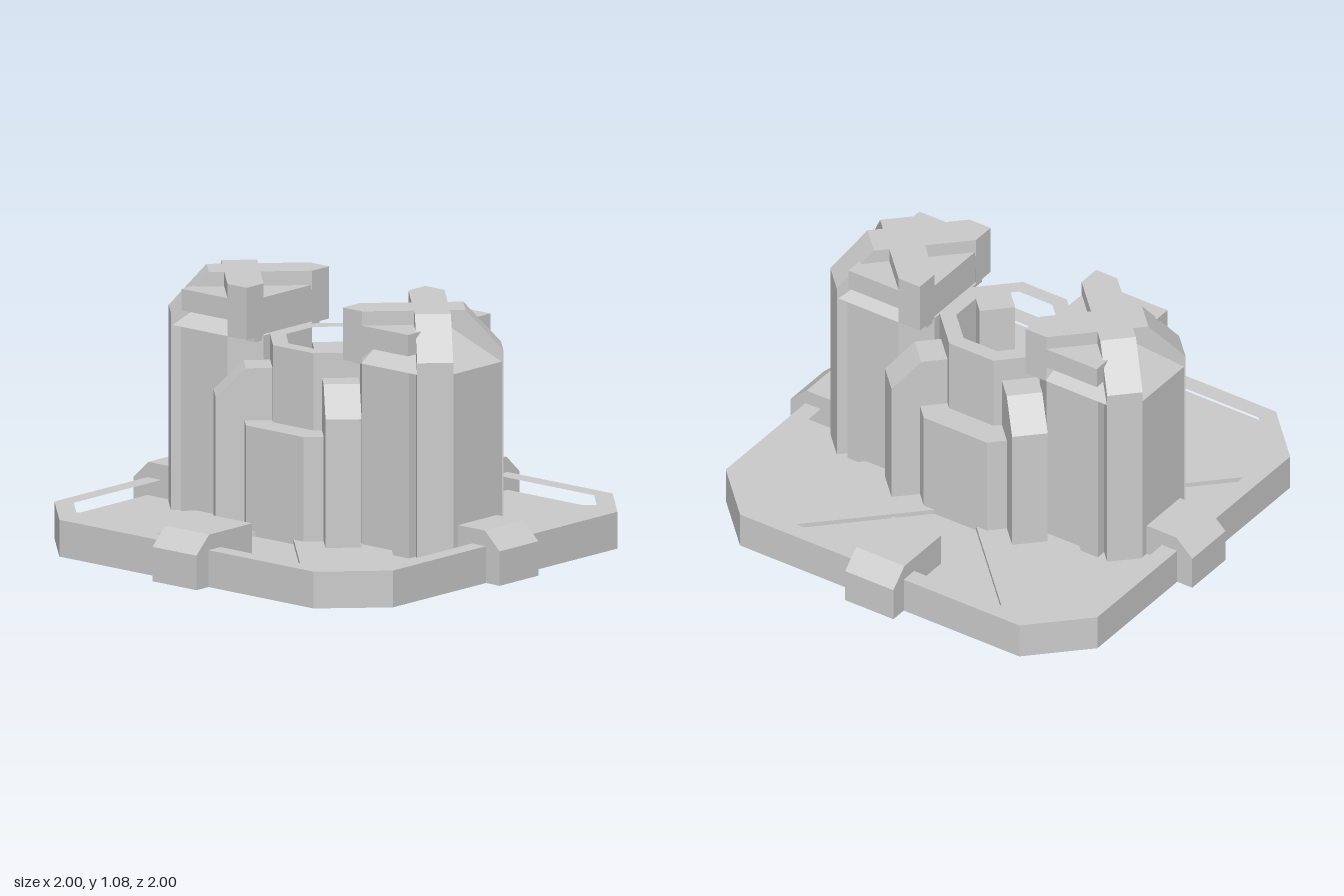
import * as THREE from 'three';
import { ConvexGeometry } from 'three/addons/geometries/ConvexGeometry.js';

const material = new THREE.MeshStandardMaterial({ color: 0xcccccc, flatShading: true });

function add(parent, name, geometry) {
  const mesh = new THREE.Mesh(geometry, material);
  mesh.name = name;
  parent.add(mesh);
  return mesh;
}

// Square outline [x, z] with cut corners: a = half size, c = half length of a flat
const cutSquare = (a, c) => [[a, -c], [a, c], [c, a], [-c, a], [-a, c], [-a, -c], [-c, -a], [c, -a]];
const toPoints = (pts) => pts.map(([x, z]) => new THREE.Vector2(x, -z));

// Upright prism over an [x, z] outline, with an optional hole
function prism(outline, y0, y1, hole) {
  const shape = new THREE.Shape(toPoints(outline));
  if (hole) shape.holes.push(new THREE.Path(toPoints(hole)));
  const g = new THREE.ExtrudeGeometry(shape, { depth: y1 - y0, bevelEnabled: false });
  return g.rotateX(-Math.PI / 2).translate(0, y0, 0);
}

// Slab with an [r, y] profile that points outwards at the given angle
function radial(profile, width, angle) {
  const shape = new THREE.Shape(profile.map(([r, y]) => new THREE.Vector2(r, y)));
  const g = new THREE.ExtrudeGeometry(shape, { depth: width, bevelEnabled: false });
  return g.translate(0, 0, -width / 2).rotateY(angle);
}

function box(x0, x1, y0, y1, z0, z1) {
  return new THREE.BoxGeometry(x1 - x0, y1 - y0, z1 - z0)
    .translate((x0 + x1) / 2, (y0 + y1) / 2, (z0 + z1) / 2);
}

const FLOOR = 0.08;
const RIB = 0.148;

// Tower around its own axis, outer side facing +z
function createTower() {
  const tower = new THREE.Group();
  tower.name = 'tower';

  // Body with slots beside the corner ribs
  const half = [[0.155, 0.255], [0.155, 0.2], [0.2, 0.105], [0.255, 0.105], [0.255, -0.15], [0.15, -0.255]];
  const outline = [...half, ...half.map(([x, z]) => [-x, z]).reverse()];
  add(tower, 'towerBody', prism(outline, FLOOR, 0.86));

  // Sloped roof
  const roofPoints = [
    ...cutSquare(0.255, 0.155).map(([x, z]) => new THREE.Vector3(x, 0.86, z)),
    ...[[1, 1], [1, -1], [-1, 1], [-1, -1]].map(([x, z]) => new THREE.Vector3(x * 0.095, 1.02, z * 0.095)),
  ];
  add(tower, 'towerRoof', new ConvexGeometry(roofPoints));

  // Roof deck overhanging the sides, and the inner wall below it
  add(tower, 'roofDeck', box(-0.255, 0.255, 0.93, 1.02, -0.252, 0.1));
  add(tower, 'innerWall', box(-0.2, 0.2, 0.84, 1.02, -0.25, -0.12));

  for (const s of [1, -1]) {
    // Outer corner ribs, bevelled towards the roof
    const angle = s > 0 ? -Math.PI / 4 : -3 * Math.PI / 4;
    const profile = [[0, FLOOR], [0.293, FLOOR], [0.293, 0.91], [0.138, 1.08], [0, 1.08]];
    add(tower, 'cornerRib', radial(profile, RIB, angle));

    // Inner arms of the roof cross, running out to the square corners
    const arm = [[0, 0.105], [0.105 * s, 0], [0.255 * s, -0.15], [0.255 * s, -0.255], [0.15 * s, -0.255], [0, -0.105]];
    add(tower, 'roofCrossArm', prism(arm, 1.0, 1.08));
    const corner = [[0.255 * s, -0.15], [0.255 * s, -0.255], [0.15 * s, -0.255]];
    add(tower, 'innerCorner', prism(corner, 0.86, 1.04));
  }
  return tower;
}

export function createModel() {
  const model = new THREE.Group();
  model.name = 'model';

  // Base tray
  const base = new THREE.Group();
  base.name = 'base';
  model.add(base);
  const outer = cutSquare(0.925, 0.695);
  const inner = cutSquare(0.85, 0.66);
  add(base, 'baseFloor', prism(outer, 0, FLOOR));
  add(base, 'baseRim', prism(outer, FLOOR, 0.155, inner));

  // Four sets of clamps, diagonal floor strips and buttresses
  for (let i = 0; i < 4; i++) {
    const side = i * Math.PI / 2;
    const diagonal = side + Math.PI / 4;
    const clamp = [[0.655, 0], [1, 0], [1, 0.145], [0.92, 0.22], [0.655, 0.22]];
    add(base, 'edgeClamp', radial(clamp, 0.24, side));
    const strip = [[0.2, 0.02], [1.085, 0.02], [1.085, 0.1], [0.2, 0.1]];
    add(base, 'floorStrip', radial(strip, 0.39, diagonal));
    const buttress = [[0.24, FLOOR], [0.4985, FLOOR], [0.4985, 0.64], [0.375, 0.76], [0.24, 0.76]];
    add(model, 'buttress', radial(buttress, RIB, diagonal));
  }

  // Central well: wide plinth and a hollow tube
  const hole = cutSquare(0.2, 0.083);
  add(model, 'wellPlinth', prism(cutSquare(0.38, 0.157), FLOOR, 0.54));
  add(model, 'wellTube', prism(cutSquare(0.265, 0.11), 0.54, 0.865, hole));

  // Front and back towers
  for (const turn of [0, Math.PI]) {
    const pivot = new THREE.Group();
    pivot.name = turn ? 'backTower' : 'frontTower';
    pivot.rotation.y = turn;
    const tower = createTower();
    tower.position.z = 0.518;
    pivot.add(tower);
    model.add(pivot);
  }
  return model;
}
